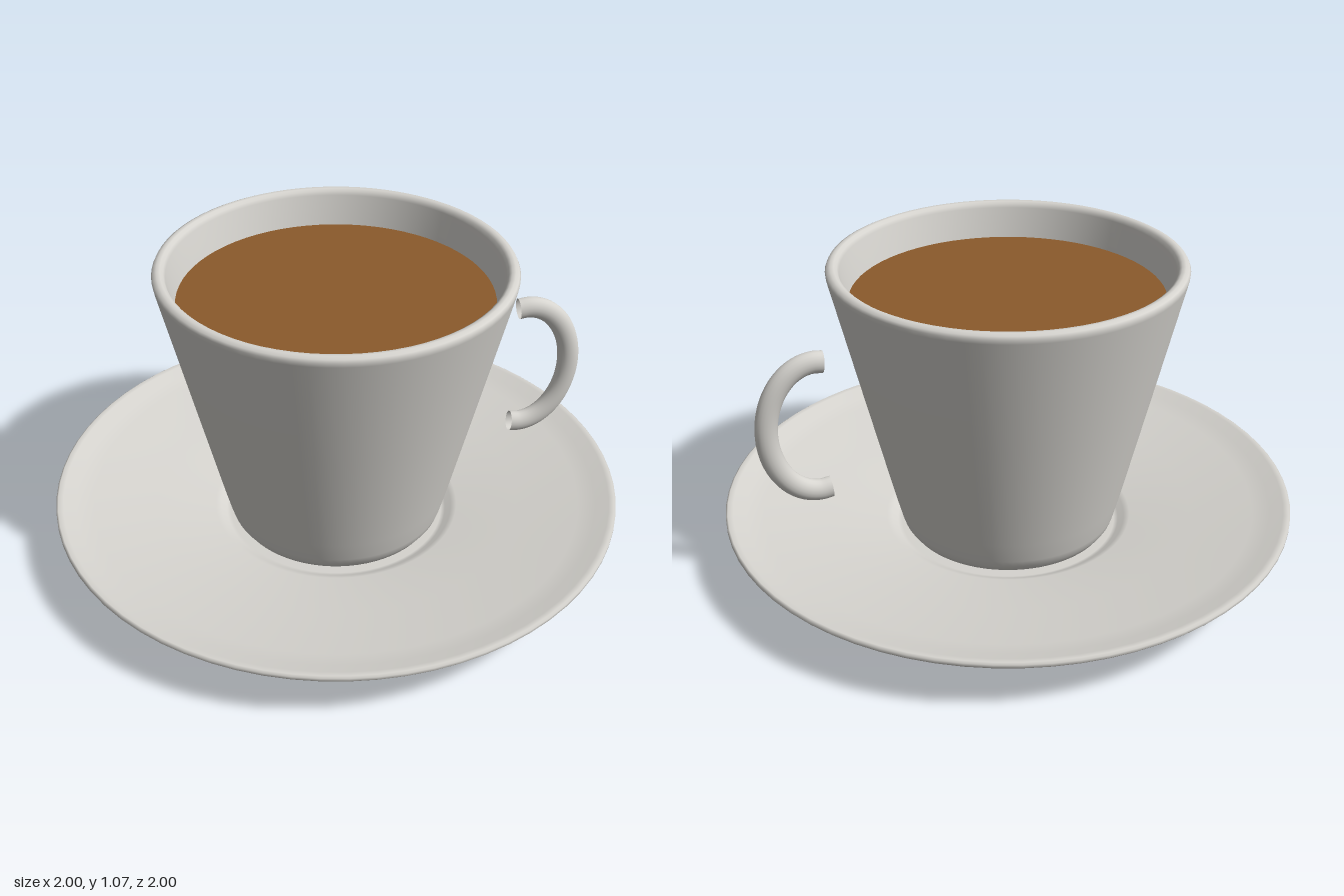
import * as THREE from 'three';

const SEGMENTS = 72;

// Spin a profile of [radius, height] pairs, listed from the underside outwards and up
function lathe(name, profile, material) {
  const points = profile.map(([r, y]) => new THREE.Vector2(r, y));
  const mesh = new THREE.Mesh(new THREE.LatheGeometry(points, SEGMENTS), material);
  mesh.name = name;
  return mesh;
}

export function createModel() {
  const china = new THREE.MeshStandardMaterial({ color: 0xd6d4cf });
  china.name = 'china';
  china.side = THREE.DoubleSide;
  const coffeeBrown = new THREE.MeshStandardMaterial({ color: 0x8b5a2b });
  coffeeBrown.name = 'coffee brown';

  const group = new THREE.Group();
  group.name = 'cupAndSaucer';

  // Saucer: recessed foot, shallow dish, thin rim and a central well
  group.add(lathe('saucer', [
    [0, 0.012], [0.29, 0.012], [0.305, 0.01], [0.32, 0], [0.375, 0], [0.385, 0.008],
    [0.405, 0.05], [0.425, 0.062], [0.65, 0.1], [0.88, 0.138], [0.94, 0.156],
    [0.995, 0.176], [1, 0.182], [1, 0.192], [0.993, 0.197], [0.975, 0.195],
    [0.93, 0.178], [0.87, 0.164], [0.65, 0.127], [0.44, 0.092], [0.42, 0.085],
    [0.4, 0.07], [0.385, 0.066], [0, 0.066],
  ], china));

  // Cup: bevelled base, straight flared wall, rounded lip and hollow inside
  group.add(lathe('cup', [
    [0, 0.068], [0.335, 0.068], [0.36, 0.074], [0.378, 0.1], [0.386, 0.125],
    [0.405, 0.2], [0.5, 0.612], [0.597, 1.035], [0.599, 1.05], [0.594, 1.06],
    [0.582, 1.066], [0.57, 1.065], [0.56, 1.058], [0.554, 1.045],
    [0.53, 0.94], [0.36, 0.2], [0.34, 0.13], [0.31, 0.115], [0, 0.115],
  ], china));

  // Coffee surface
  const coffee = new THREE.Mesh(new THREE.CircleGeometry(0.531, SEGMENTS), coffeeBrown);
  coffee.name = 'coffee';
  coffee.rotation.x = -Math.PI / 2;
  coffee.position.y = 0.94;
  group.add(coffee);

  // Handle: open tube along part of an ellipse, slightly flattened sideways
  const sweep = THREE.MathUtils.degToRad(100);
  const path = new THREE.CatmullRomCurve3(Array.from({ length: 17 }, (_, i) => {
    const t = -sweep + (2 * sweep * i) / 16;
    return new THREE.Vector3(0.676 + 0.172 * Math.cos(t), 0.575 + 0.238 * Math.sin(t), 0);
  }));
  const handle = new THREE.Mesh(new THREE.TubeGeometry(path, 48, 0.038, 20), china);
  handle.name = 'handle';
  handle.scale.z = 0.8;
  group.add(handle);

  return group;
}
